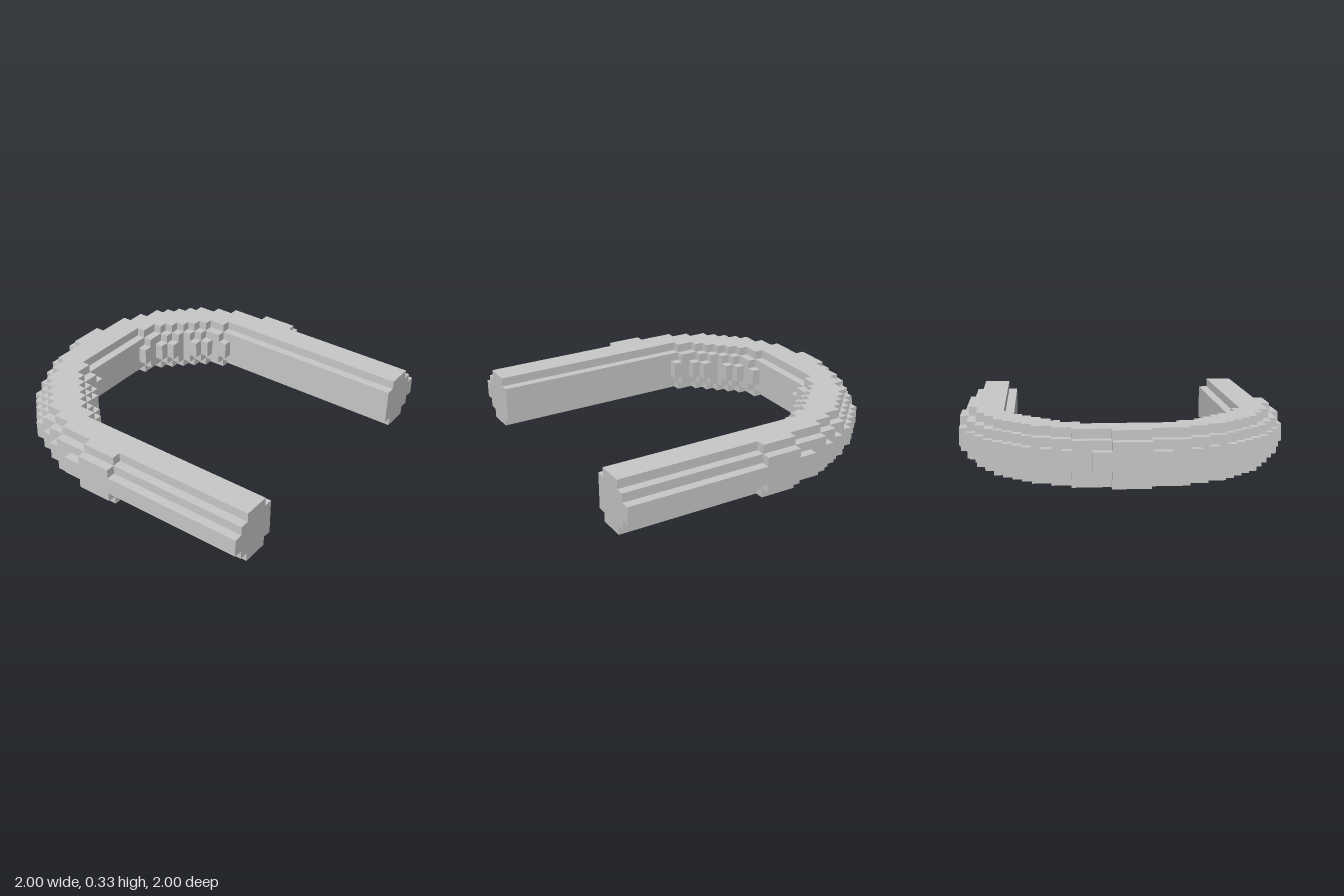
import * as THREE from 'three';

const UNIT = 1 / 18;   // edge of one block
const RING = 15;       // radius of the bend, in blocks
const TUBE = 3;        // radius of the tube, in blocks
const END = 18;        // front end of the straight legs
const LAST_ROW = 2;    // the row whose section continues along the legs

// A block belongs to the bend when its centre lies inside a torus.
function filled(i, row, y) {
  const r = Math.hypot(i + 0.5, row + 0.5);
  return (r - RING) ** 2 + y ** 2 < TUBE ** 2;
}

// First and last block edge of one row, on the side of positive x.
function rowSpan(row, y) {
  let inner = -1, outer = 0;
  for (let i = 0; i < 18; i++) {
    if (!filled(i, row, y)) continue;
    if (inner < 0) inner = i;
    outer = i + 1;
  }
  return { inner, outer };
}

// Stepped horseshoe outline of a layer whose block centres are y from the middle.
function layerShape(y) {
  const outerSide = [], innerSide = [];
  let lastOuter = 0, lastInner = 0;
  for (let row = -18; row <= LAST_ROW; row++) {
    const { inner, outer } = rowSpan(row, y);
    if (outer === 0) continue;
    if (outer !== lastOuter) {
      if (lastOuter > 0) outerSide.push([lastOuter, row]);
      outerSide.push([outer, row]);
      lastOuter = outer;
    }
    if (inner !== lastInner) {
      if (lastInner > 0) innerSide.push([lastInner, row]);
      innerSide.push([inner, row]);
      lastInner = inner;
    }
  }
  const right = [...outerSide, [lastOuter, END], [lastInner, END], ...innerSide.reverse()];
  const left = right.map(([x, z]) => [-x, z]).reverse();
  return new THREE.Shape([...right, ...left].map(([x, z]) => new THREE.Vector2(x * UNIT, -z * UNIT)));
}

export function createModel() {
  const model = new THREE.Group();
  model.name = 'horseshoeArch';
  const grey = new THREE.MeshStandardMaterial({ color: 0xc8c8c8 });
  grey.name = 'lightGrey';

  // Horizontal layers: name, bottom, thickness, distance of block centres from the middle
  const layers = [
    ['bottomLayer', 0, 1, 2.5],
    ['lowerLayer', 1, 1, 1.5],
    ['middleLayer', 2, 2, 0.5],
    ['upperLayer', 4, 1, 1.5],
    ['topLayer', 5, 1, 2.5],
  ];
  for (const [name, bottom, thickness, y] of layers) {
    const geometry = new THREE.ExtrudeGeometry(layerShape(y), { depth: thickness * UNIT, bevelEnabled: false });
    geometry.rotateX(-Math.PI / 2);
    const mesh = new THREE.Mesh(geometry, grey);
    mesh.name = name;
    mesh.position.y = bottom * UNIT;
    model.add(mesh);
  }
  return model;
}
